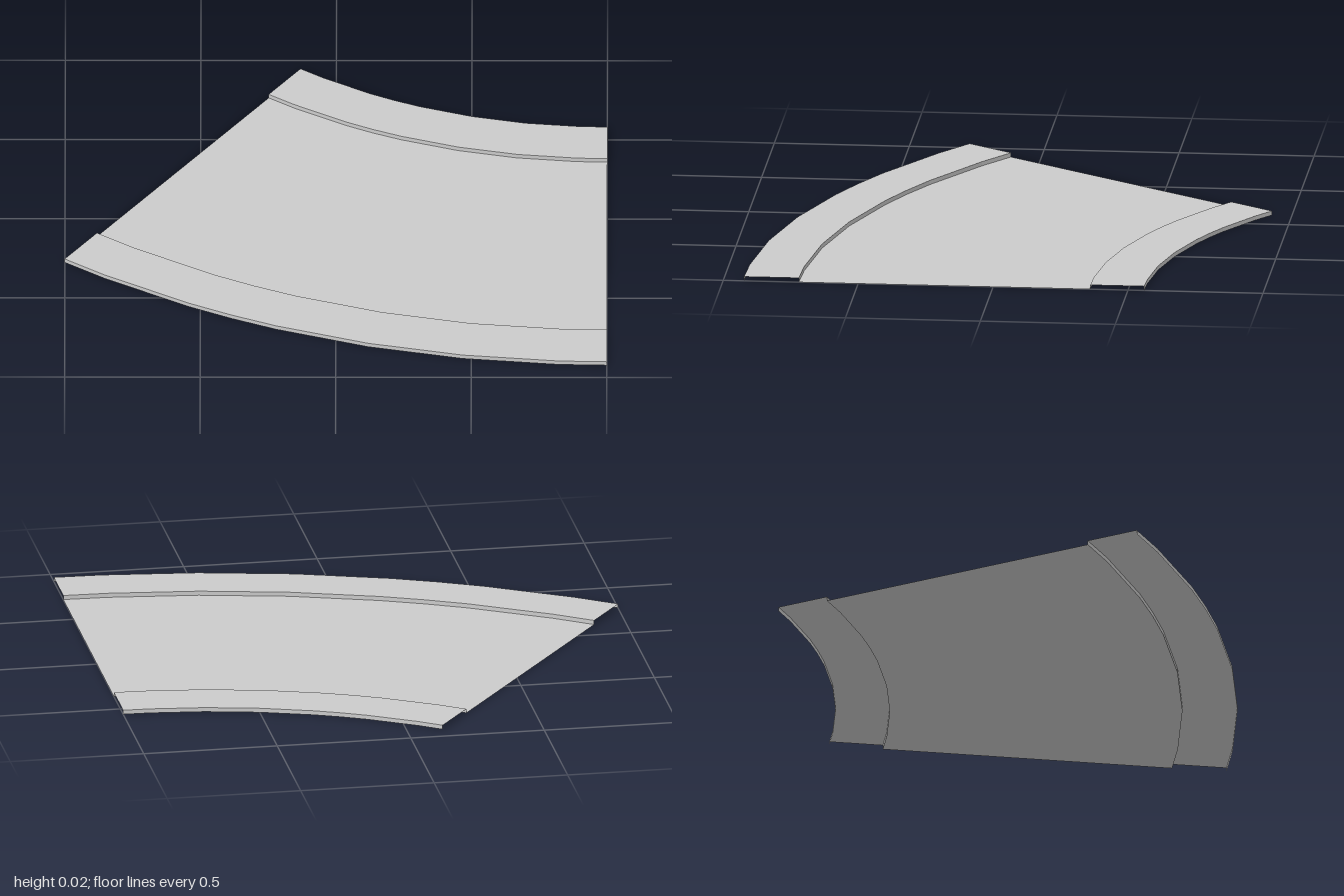
import * as THREE from 'three';

const CENTRE_X = 1, CENTRE_Z = -2.495; // pivot of the bend
const CURB_HEIGHT = 0.016;
const ANGLES = [0, 3, 9, 15, 21, 24, 27, 33, 36].map((d) => THREE.MathUtils.degToRad(d * 35.83 / 36));

// Sweeps a [radius, height] profile round the bend as an open sheet
function sweep(name, profile, material) {
  const positions = [], indices = [], n = profile.length;
  for (const a of ANGLES) {
    for (const [r, y] of profile) {
      positions.push(CENTRE_X - r * Math.sin(a), y, CENTRE_Z + r * Math.cos(a));
    }
  }
  for (let i = 0; i < ANGLES.length - 1; i++) {
    for (let j = 0; j < n - 1; j++) {
      const p = i * n + j, q = p + n;
      indices.push(p, q, p + 1, q, q + 1, p + 1);
    }
  }
  const indexed = new THREE.BufferGeometry();
  indexed.setAttribute('position', new THREE.Float32BufferAttribute(positions, 3));
  indexed.setIndex(indices);
  const geometry = indexed.toNonIndexed();
  geometry.computeVertexNormals();
  const mesh = new THREE.Mesh(geometry, material);
  mesh.name = name;
  return mesh;
}

// Raised pavement: a low wall on each side and a flat top
const curbProfile = (inner, outer) => [[inner, 0], [inner, CURB_HEIGHT], [outer, CURB_HEIGHT], [outer, 0]];

export function createModel() {
  const group = new THREE.Group();
  group.name = 'curvedRoad';
  const material = new THREE.MeshStandardMaterial({ color: 0xcccccc, flatShading: true, side: THREE.DoubleSide });

  group.add(
    sweep('roadSurface', [[2.135, 0], [3.215, 0]], material),
    sweep('innerPavement', curbProfile(1.935, 2.135), material),
    sweep('outerPavement', curbProfile(3.215, 3.418), material),
  );
  return group;
}
